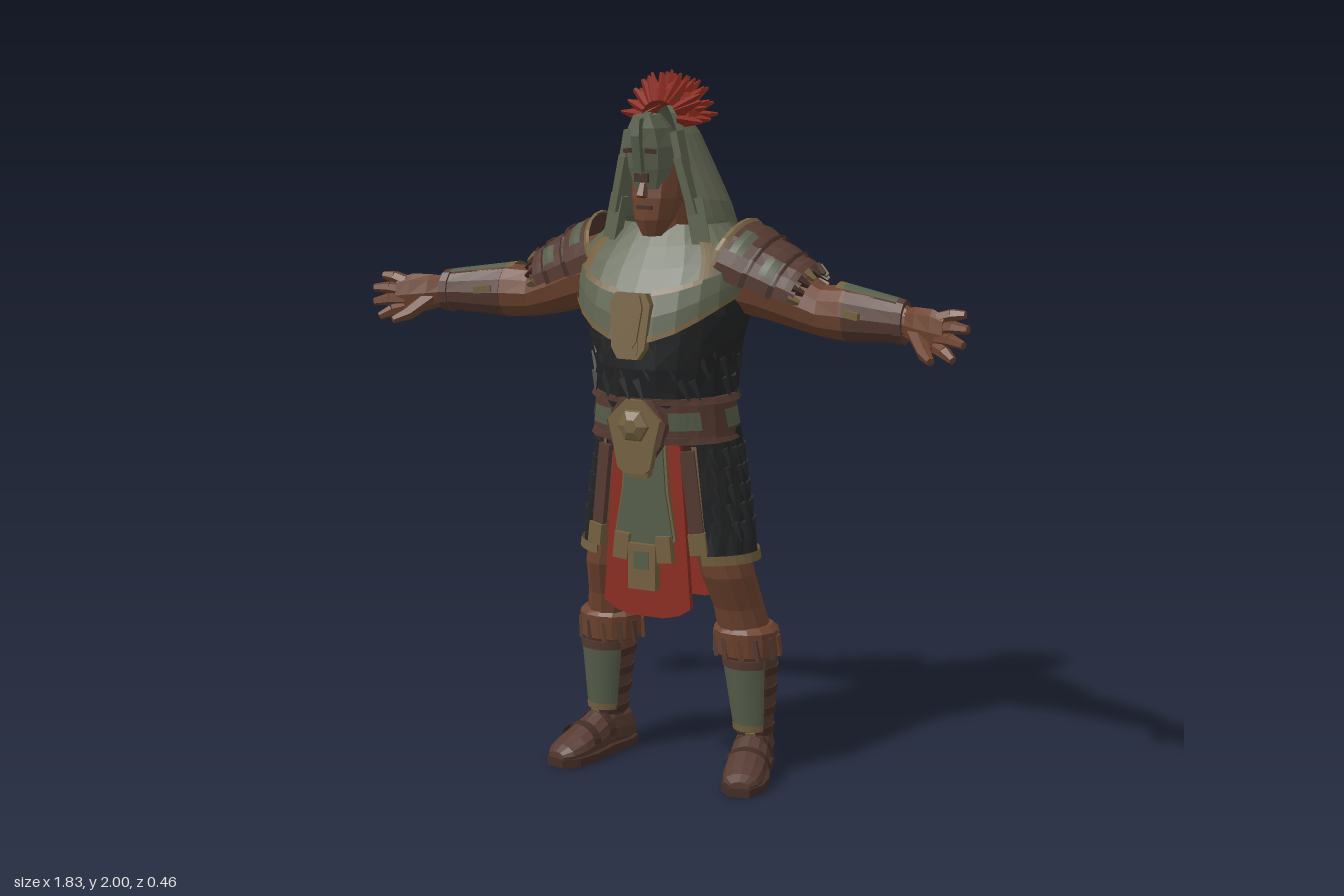
import * as THREE from 'three';

const mat = (name, color) => new THREE.MeshStandardMaterial({ name, color, flatShading: true, side: THREE.DoubleSide });
const M = {
  green: mat('weathered green', 0x5f6450), patina: mat('dark patina', 0x555d4a), tan: mat('aged brass', 0x74603f),
  leather: mat('brown leather', 0x553a31), dark: mat('dark leather', 0x432d26), skin: mat('skin', 0x6d432f),
  black: mat('black fur', 0x232425), fur: mat('grey fur', 0x2a2b2c), red: mat('red cloth', 0x8b2c20),
};
const rad = d => d * Math.PI / 180;
const hash = (i, j) => { const s = Math.sin(i * 127.1 + j * 311.7) * 43758.5; return s - Math.floor(s); };

function createModel() {
  const root = new THREE.Group();
  root.name = 'armouredWarrior';
  let target = root;
  const add = (name, geo, m, p = [0, 0, 0], r = [0, 0, 0]) => {
    const mesh = new THREE.Mesh(geo, m);
    mesh.name = name;
    mesh.position.set(...p);
    mesh.rotation.set(...r);
    target.add(mesh);
    return mesh;
  };
  const box = (name, m, size, p, r) => add(name, new THREE.BoxGeometry(...size), m, p, r);
  const within = (name, p, r, fn) => {
    const old = target, g = new THREE.Group();
    g.name = name; g.position.set(...p); g.rotation.set(...r);
    old.add(g); target = g; fn(); target = old;
  };
  // tapered rod between two points
  const rod = (name, m, a, b, r0, r1, n = 6) => {
    const A = new THREE.Vector3(...a), B = new THREE.Vector3(...b), d = B.clone().sub(A);
    const mesh = add(name, new THREE.CylinderGeometry(r1, r0, d.length(), n), m);
    mesh.position.copy(A).add(B).multiplyScalar(0.5);
    mesh.quaternion.setFromUnitVectors(new THREE.Vector3(0, 1, 0), d.normalize());
  };
  // elliptical sections [x, y, z, ru, rv] along axis w (0 x, 1 y, 2 z); open when an arc in degrees is given
  const loft = (name, m, w, secs, { n = 14, arc, jit = 0, warp } = {}) => {
    const [a0, a1] = (arc || [0, 360]).map(rad), u = (w + 1) % 3, v = (w + 2) % 3, pos = [], idx = [];
    const flip = secs[secs.length - 1][w] < secs[0][w];
    const face = (a, b, c) => flip ? idx.push(a, c, b) : idx.push(a, b, c);
    secs.forEach((s, i) => {
      for (let j = 0; j <= n; j++) {
        const a = a0 + (a1 - a0) * j / n, k = 1 + jit * (hash(i, arc ? j : j % n) - 0.5), p = s.slice(0, 3);
        p[u] += s[3] * k * Math.cos(a);
        p[v] += s[4] * k * Math.sin(a);
        if (warp) warp(p, a, i);
        pos.push(...p);
        if (i && j) {
          const q = i * (n + 1) + j, o = q - n - 1;
          face(o - 1, o, q); face(o - 1, q, q - 1);
        }
      }
    });
    if (!arc) [0, secs.length - 1].forEach((i, end) => {
      const c = pos.length / 3, o = i * (n + 1);
      pos.push(...secs[i].slice(0, 3));
      for (let j = 0; j < n; j++) end ? face(c, o + j, o + j + 1) : face(c, o + j + 1, o + j);
    });
    const g = new THREE.BufferGeometry();
    g.setAttribute('position', new THREE.Float32BufferAttribute(pos, 3));
    g.setIndex(idx);
    g.computeVertexNormals();
    return add(name, g, m);
  };
  // flat outline in xy, given thickness
  const plate = (name, m, pts, depth, p, r) => add(name, new THREE.ExtrudeGeometry(
    new THREE.Shape(pts.map(q => new THREE.Vector2(...q))), { depth, bevelEnabled: false }), m, p, r);
  const sym = pts => [...pts, ...pts.slice().reverse().map(([x, y]) => [-x, y])];

  // torso and belt
  loft('torso', M.black, 1, [[0, 1.05, 0, .165, .19], [0, 1.13, -.01, .19, .2], [0, 1.2, -.01, .2, .205], [0, 1.27, -.01, .2, .222],
    [0, 1.35, -.01, .2, .24], [0, 1.44, -.02, .18, .235], [0, 1.52, -.04, .13, .19], [0, 1.57, -.05, .09, .11]], { n: 22, jit: .05 });
  for (let r = 0; r < 4; r++) for (let j = 0; j < 16; j++) {
    const a = rad((j + hash(r, j) * .7) * 360 / 16), y = 1.17 + r * .055, k = 1 + (y - 1.2) * .3;
    rod('torsoFur', M.fur, [Math.sin(a) * .2 * k, y, Math.cos(a) * .192 - .01],
      [Math.sin(a + .12) * .206 * k, y - .055, Math.cos(a + .12) * .198 - .01], .014, .003, 4);
  }
  loft('hips', M.dark, 1, [[0, .82, -.02, .08, .1], [0, .9, -.02, .12, .17], [0, 1.02, -.01, .15, .19]]);
  const belt = (name, m, y0, y1, g, arc) => loft(name, m, 1, [[0, y0, -.005, .175 + g, .21 + g], [0, y1, -.005, .178 + g, .2 + g]], { n: arc ? 4 : 22, arc });
  belt('belt', M.leather, 1, 1.11, 0);
  belt('beltLowerEdge', M.leather, .99, 1.01, .006);
  belt('beltUpperEdge', M.leather, 1.1, 1.118, .006);
  [38, 90, 142, 180, 218, 270, 322].forEach(a => belt('beltPlaque', M.patina, 1.03, 1.08, .006, [a - 13, a + 13]));

  // collar, following the chest and dipping at front and back
  const cs = [[1.4, 0, .222, .246], [1.47, -.005, .207, .25], [1.53, -.03, .165, .232], [1.585, -.05, .11, .16]];
  const collar = (name, m, t0, t1, grow, arc, n = 24) => loft(name, m, 1, [0, 1, 2, 3, 4, 5].map(i => {
    const t = (t0 + (t1 - t0) * i / 5) * 3, k = Math.min(2, Math.floor(t)), f = t - k;
    const [y, z, rz, rx] = cs[k].map((c, q) => c + (cs[k + 1][q] - c) * f);
    return [0, y, z, rz + grow, rx + grow];
  }), { n, arc, warp: (p, a, i) => { p[1] -= .125 * Math.cos(a) ** 2 * (1 - (t0 + (t1 - t0) * i / 5)); } });
  collar('collar', M.green, 0, 1, 0, [0, 360]);
  collar('collarEdge', M.tan, 0, .05, .004, [0, 360]);
  collar('collarInlayBack', M.tan, .5, .57, .005, [115, 245], 14);
  [0, 1].forEach(i => {
    collar('collarStrap', M.tan, .42, .96, .006, i ? [42, 52] : [308, 318], 3);
    collar('collarInlay', M.tan, .38, .43, .006, i ? [12, 45] : [315, 348], 5);
  });
  within('chestMedallion', [0, 1.32, .197], [-.12, 0, 0], () => {
    plate('medallionPlate', M.tan, sym([[.045, .09], [.06, .06], [.05, -.06], [.03, -.09]]), .026);
    plate('medallionRaisedPanel', M.tan, sym([[.03, .085], [.04, .05], [.028, -.04], [.016, -.06]]), .034);
    box('medallionTip', M.tan, [.06, .04, .034], [0, -.06, .012]);
  });

  // head and helmet
  loft('neck', M.skin, 1, [[0, 1.5, -.02, .1, .09], [0, 1.58, 0, .085, .075], [0, 1.66, .01, .07, .065]]);
  loft('face', M.skin, 1, [[0, 1.555, .075, .035, .03], [0, 1.6, .06, .07, .058], [0, 1.66, .045, .085, .072], [0, 1.78, .03, .08, .075]], { n: 10 });
  box('mouth', M.dark, [.045, .01, .008], [0, 1.635, .129]);
  rod('nose', M.skin, [0, 1.72, .125], [0, 1.665, .145], .008, .016, 5);
  loft('helmetCowl', M.green, 1, [[0, 1.615, -.062, .122, .18], [0, 1.66, -.052, .115, .166], [0, 1.75, -.036, .095, .122],
    [0, 1.83, -.018, .078, .09], [0, 1.885, 0, .055, .058], [0, 1.905, 0, .015, .015]], { n: 18, arc: [40, 320],
    warp: (p, a, i) => { if (i < 2) { const b = (1 - Math.cos(a)) / 2; p[1] -= .07 * b / (i + 1); p[2] -= .024 * b / (i + 1); } } });
  loft('helmetMask', M.green, 1, [[0, 1.685, .09, .045, .045], [0, 1.74, .085, .07, .062], [0, 1.8, .085, .082, .068],
    [0, 1.85, .095, .075, .056], [0, 1.885, .11, .05, .034]], { n: 8 });
  plate('maskRidge', M.patina, [[.1, 1.89], [.18, 1.875], [.185, 1.83], [.17, 1.735], [.1, 1.73]], .024, [.012, 0, 0], [0, -Math.PI / 2, 0]);
  box('maskMouth', M.dark, [.04, .024, .008], [0, 1.717, .145]);
  // feathered crest, swept back
  add('crestBase', new THREE.TorusGeometry(.065, .034, 6, 14, Math.PI), M.red, [0, 1.87, -.01]);
  for (let r = 0; r < 4; r++) for (let j = 0; j < 11; j++) {
    const a = rad(2 + j * 17.6 + (hash(r, j) - .5) * 12), L = .116 + hash(j, r) * .016, z = .03 - r * .026;
    rod('crestFeather', M.red, [Math.cos(a) * .05, 1.87 + Math.sin(a) * .045, z * .7], [Math.cos(a) * L, 1.868 + Math.sin(a) * L, z - .022], .024, .004, 4);
  }

  for (const s of [1, -1]) {
    const X = secs => secs.map(([x, ...q]) => [x * s, ...q]);
    // helmet side guards
    box('eyeSlot', M.dark, [.032, .012, .008], [.034 * s, 1.79, .158], [0, .42 * s, -.1 * s]);
    box('browWing', M.green, [.02, .1, .07], [.075 * s, 1.79, .06], [0, .15 * s, .2 * s]);
    box('cheekGuard', M.green, [.022, .16, .09], [.094 * s, 1.695, .048], [.05, .2 * s, .25 * s]);
    box('lappet', M.green, [.05, .13, .025], [.125 * s, 1.595, .055], [-.1, .4 * s, .22 * s]);

    // arm, bracer and hand
    loft('arm', M.skin, 0, X([[.17, 1.45, -.06, .11, .11], [.28, 1.42, -.07, .1, .1], [.38, 1.38, -.078, .085, .085], [.45, 1.355, -.07, .072, .072],
      [.52, 1.355, -.055, .077, .07], [.6, 1.355, -.035, .068, .06], [.67, 1.35, -.015, .058, .047], [.72, 1.35, 0, .045, .036]]), { n: 12 });
    const bracer = (name, m, x0, x1, g, arc) => loft(name, m, 0, X([x0, (x0 + x1) / 2, x1].map(x => {
      const t = (x - .5) / .22;
      return [x, 1.355 - t * .005, -.06 + t * .06, .08 - t * .026 + g, .075 - t * .033 + g];
    })), { n: 12, arc });
    bracer('bracer', M.leather, .53, .71, 0);
    bracer('bracerPlate', M.patina, .52, .69, .006, [-112, 30]);
    bracer('bracerElbowRim', M.tan, .5, .522, .006, [-110, 30]);
    bracer('bracerWristRim', M.leather, .69, .712, .006);
    box('bracerClasp', M.tan, [.05, .02, .012], [.57 * s, 1.365, .036], [0, -.3 * s, -.1 * s]);
    loft('palm', M.skin, 0, X([[.7, 1.35, -.004, .04, .032], [.75, 1.345, .02, .052, .032], [.8, 1.34, .04, .058, .028], [.84, 1.335, .055, .05, .022]]), { n: 8 });
    [[.895, 1.39, .05], [.912, 1.355, .075], [.905, 1.315, .088], [.88, 1.275, .1]].forEach((t, i) => {
      const b = [.82, 1.374 - i * .025, .045 + i * .004], mid = b.map((c, k) => c + (t[k] - c) * .5 + (k === 1 ? .004 : 0));
      const f = p => [p[0] * s, p[1], p[2]];
      rod('finger', M.skin, f(b), f(mid), .019, .018);
      rod('fingertip', M.skin, f(mid), f(t), .018, .011);
    });
    rod('thumb', M.skin, [.75 * s, 1.33, .025], [.795 * s, 1.285, .08], .026, .02);
    rod('thumbTip', M.skin, [.795 * s, 1.285, .08], [.825 * s, 1.27, .115], .02, .011);

    // layered shoulder guard
    within('shoulderGuard', [.285 * s, 1.437, -.06], [0, 0, -.39 * s], () => {
      const lame = (name, m, x0, x1, g, arc) => loft(name, m, 0, X([x0, (x0 + x1) / 2, x1].map((x, i) =>
        [x, 0, 0, .116 - (x + .1) * .08 + g + (i === 1 ? .005 : 0), .148 - (x + .1) * .15 + g])), { n: 10, arc });
      lame('upperLame', M.leather, -.11, -.01, .006, [-98, 100]);
      lame('middleLame', M.leather, -.02, .07, 0, [-95, 98]);
      lame('lowerLame', M.leather, .06, .125, -.006, [-92, 95]);
      lame('innerRim', M.tan, -.12, -.1, .009, [-85, 85]);
      [[-.015, .01], [.062, .003]].forEach(([x, g]) => lame('lameEdge', M.dark, x - .008, x + .008, g, [-95, 98]));
      [[-62, -25, -.085], [25, 62, -.085], [45, 72, .015]].forEach(([a, b, x]) => lame('greenInlay', M.patina, x, x + .04, .01, [a, b]));
      for (let j = 0; j < 10; j++) {
        const a = rad(-85 + j * 19);
        rod('fringe', j % 3 ? M.dark : M.tan, [.11 * s, Math.cos(a) * .088, Math.sin(a) * .104], [.142 * s, Math.cos(a) * .08, Math.sin(a) * .095], .016, .008, 4);
      }
    });

    // split fur skirt
    const skirt = (name, m, y0, y1, g, a, b, jit = 0) => loft(name, m, 1, [0, 1, 2, 3, 4].map(i => {
      const y = y0 + (y1 - y0) * i / 4;
      return [0, y, -.03, .163 + g, .268 - (y - .65) * .17 + g];
    }), { n: 14, arc: s > 0 ? [a, b] : [360 - b, 360 - a], jit });
    skirt('skirt', M.black, .65, 1.02, 0, 38, 155, .04);
    skirt('skirtHem', M.tan, .645, .672, .006, 37, 156);
    skirt('skirtFrontEdge', M.tan, .65, .98, .006, 37, 41);
    skirt('skirtBackEdge', M.tan, .65, .98, .006, 152, 156);
    for (let r = 0; r < 5; r++) for (let j = 0; j < 7; j++) {
      const a = rad(48 + j * 14.5 + hash(r, j) * 7), y = .76 + r * .052, rx = .265 - (y - .65) * .17;
      rod('skirtFur', M.fur, [Math.sin(a) * rx * s, y, Math.cos(a) * .158 - .03], [Math.sin(a + .08) * (rx + .01) * s, y - .055, Math.cos(a + .08) * .167 - .03], .014, .003, 4);
    }
    box('hipStrap', M.leather, [.04, .26, .016], [.14 * s, .84, .115], [0, .3 * s, .12 * s]);
    box('hipStrapTip', M.tan, [.048, .06, .022], [.157 * s, .71, .115], [0, .3 * s, .12 * s]);

    // leg, knee cuff and greave
    loft('leg', M.skin, 1, X([[.235, .08, -.1, .055, .042], [.235, .2, -.1, .06, .05], [.225, .32, -.095, .07, .07], [.212, .42, -.085, .08, .075],
      [.2, .5, -.065, .078, .07], [.183, .6, -.028, .086, .074], [.15, .74, -.02, .095, .075], [.12, .94, -.02, .1, .065]]), { n: 12 });
    const wrap = (name, m, y0, y1, g, arc) => loft(name, m, 1, X([y0, (y0 + y1) / 2, y1].map(y =>
      [.237 - (y - .1) * .04, y, -.105 + (y - .1) * .03, .056 + (y - .1) * .1 + g, .043 + (y - .1) * .11 + g])), { n: 12, arc });
    wrap('shinWrap', M.leather, .09, .36, .004);
    [.13, .19, .25, .31].forEach(y => wrap('shinBand', M.dark, y - .012, y + .012, .008));
    wrap('greave', M.patina, .15, .35, .013, [-52, 52]);
    wrap('greaveLowerRim', M.tan, .135, .155, .015, [-50, 50]);
    wrap('greaveUpperRim', M.leather, .325, .35, .016, [-50, 50]);
    loft('kneeCuff', M.skin, 1, X([[.22, .35, -.09, .08, .08], [.218, .36, -.09, .092, .092], [.215, .43, -.085, .092, .095], [.212, .445, -.085, .078, .08]]), { n: 14, jit: .06 });
    for (let j = 0; j < 12; j++) {
      const a = rad(j * 30 + 8);
      rod('cuffFringe', j % 3 ? M.leather : M.skin, [.216 * s + Math.sin(a) * .088, .415, -.086 + Math.cos(a) * .085], [.218 * s + Math.sin(a + .08) * .094, .352, -.09 + Math.cos(a + .08) * .09], .012, .008, 4);
    }

    // shoe, toes turned out
    within('shoe', [.235 * s, 0, -.1], [0, .25 * s, 0], () => {
      const outline = [[.035, -.09], [.05, -.05], [.05, .03], [.066, .12], [.06, .19], [.03, .235]];
      plate('sole', M.dark, sym(outline), .025, [0, .025, 0], [Math.PI / 2, 0, 0]);
      loft('shoeUpper', M.leather, 2, [[0, .05, -.085, .032, .04], [0, .07, -.05, .052, .07], [0, .075, .03, .054, .065], [0, .055, .1, .06, .05],
        [0, .042, .16, .06, .038], [0, .034, .205, .05, .026], [0, .03, .23, .028, .014]], { n: 12, warp: p => { p[1] = Math.max(p[1], .015); } });
      [[.05, .058, .066], [.12, .062, .05]].forEach(([z, rx, ry]) => loft('shoeStrap', M.dark, 2,
        [[0, .06 - (z - .05) * .1, z - .014, rx + .004, ry + .004], [0, .06 - (z - .05) * .1, z + .014, rx + .004, ry]], { n: 10, arc: [0, 180] }));
      box('strapStud', M.tan, [.03, .012, .025], [0, .128, .05], [.25, 0, 0]);
    });
  }

  // front and back cloths with metal panels
  const cloth = sym([[.1, 1], [.115, .8], [.135, .52], [.1, .497], [.05, .485]]);
  const panel = sym([[.055, 1], [.065, .85], [.088, .72], [.05, .69]]);
  const rim = sym([[.062, 1], [.072, .85], [.095, .715], [.055, .68]]);
  plate('frontCloth', M.red, cloth, .018, [0, 0, .098]);
  plate('frontPanelRim', M.tan, rim, .012, [0, 0, .116]);
  plate('frontPanel', M.patina, panel, .008, [0, 0, .126]);
  plate('backCloth', M.red, cloth, .018, [0, 0, -.175]);
  plate('backPanelRim', M.leather, rim, .01, [0, 0, -.185]);
  plate('backPanel', M.patina, panel, .008, [0, 0, -.19]);
  add('backStud', new THREE.CylinderGeometry(.03, .03, .008, 8), M.green, [0, .76, -.192], [Math.PI / 2, 0, 0]);
  box('pendantCentre', M.tan, [.085, .13, .03], [0, .635, .135]);
  box('pendantInlay', M.patina, [.045, .05, .008], [0, .655, .15]);
  for (const s of [1, -1]) box('pendantSide', M.tan, [.045, .075, .026], [.066 * s, .69, .135], [0, 0, .1 * s]);

  // buckle
  plate('buckleBack', M.leather, sym([[.05, 1.115], [.09, 1.05], [.075, .99], [.04, .94]]), .03, [0, 0, .152]);
  plate('bucklePlate', M.tan, sym([[.025, 1.115], [.08, 1.06], [.065, 1], [.05, .925], [.03, .91]]), .025, [0, 0, .172]);
  loft('buckleBoss', M.tan, 2, [[0, 1.045, .185, .055, .055], [0, 1.045, .205, .045, .045], [0, 1.045, .217, .02, .02]], { n: 6 });
  box('buckleTongue', M.tan, [.06, .1, .03], [0, .945, .162], [.15, 0, 0]);
  return root;
}

export { createModel };
